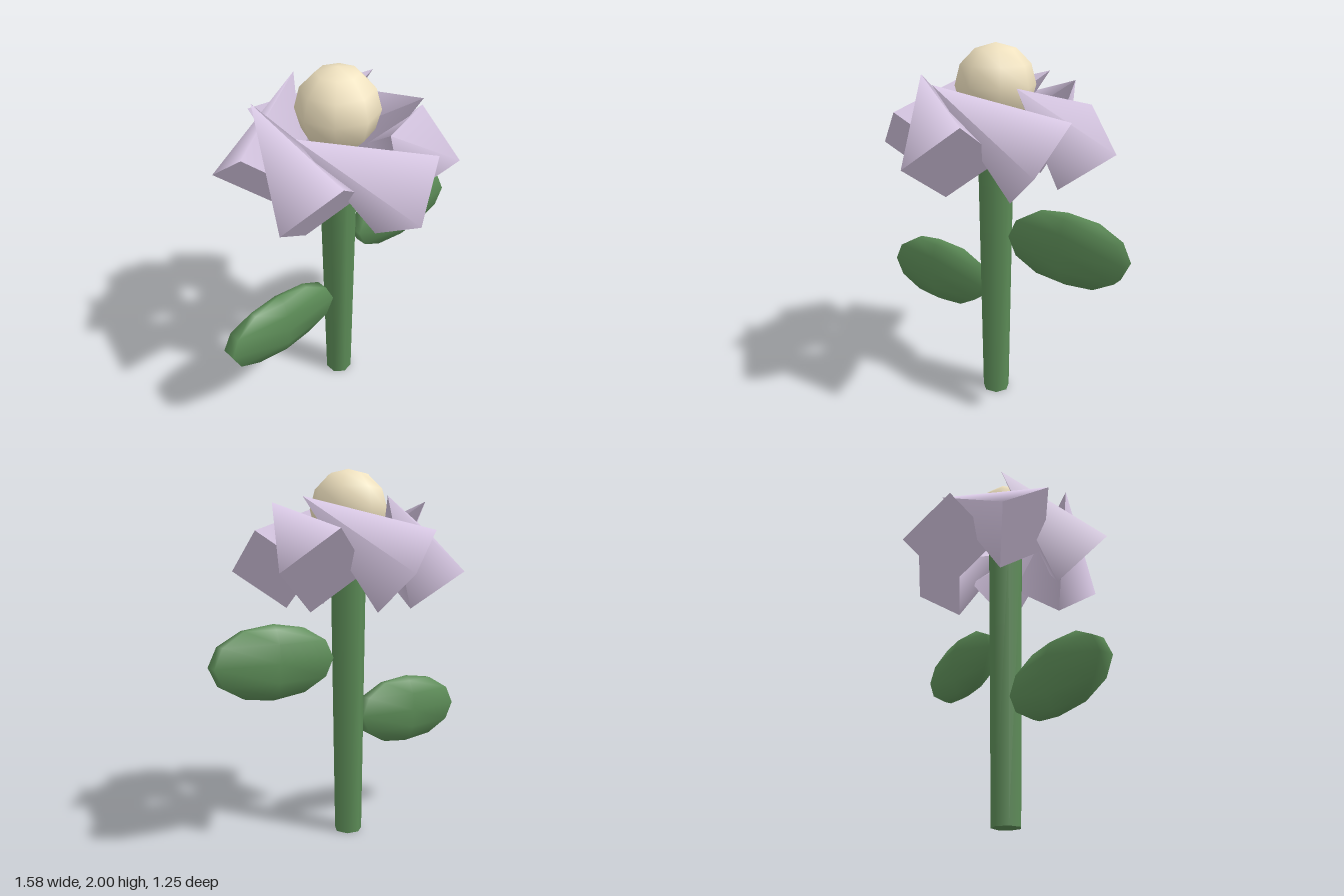
import * as THREE from 'three';

const green = new THREE.MeshStandardMaterial({ color: 0x5c8c57 });
const lilac = new THREE.MeshStandardMaterial({ color: 0xd8c8e4 });
const cream = new THREE.MeshStandardMaterial({ color: 0xf0e2c0 });

function part(name, geometry, material, x = 0, y = 0, z = 0) {
  const mesh = new THREE.Mesh(geometry, material);
  mesh.name = name;
  mesh.position.set(x, y, z);
  return mesh;
}

export function createModel() {
  const model = new THREE.Group();
  model.name = 'flower';

  // Seven-sided stem, slightly wider at the top
  const stem = part('stem', new THREE.CylinderGeometry(0.1, 0.077, 1.6, 7), green, -0.02, 0.8, -0.005);
  stem.rotation.y = Math.PI / 2;
  model.add(stem);

  // Two flat oval leaves at different heights
  const leafGeo = new THREE.SphereGeometry(0.198, 6, 6).rotateY(Math.PI / 2).scale(2.01, 1, 0.4);
  model.add(part('leftLeaf', leafGeo, green, 0.445, 1.003, 0));
  model.add(part('rightLeaf', leafGeo, green, -0.445, 0.647, 0));

  // Flower head
  const head = new THREE.Group();
  head.name = 'flowerHead';
  head.position.set(-0.02, 0, -0.005);
  head.add(part('flowerCentre', new THREE.SphereGeometry(0.21, 8, 6), cream, 0, 1.79, 0));

  // Four-sided cone petal, its tip swept up and sideways past the centre
  const base = new THREE.Vector3(0.065, 1.465, 0.412);
  const tip = new THREE.Vector3(-0.38, 1.828, 0.153);
  const axis = tip.clone().sub(base);
  const length = axis.length();
  axis.normalize();
  const side = new THREE.Vector3().crossVectors(axis, new THREE.Vector3(-0.125, -0.005, 0.21)).normalize();
  const corner = new THREE.Vector3().crossVectors(side, axis);
  const petalGeo = new THREE.ConeGeometry(0.25, length, 4)
    .translate(0, length / 2, 0)
    .applyMatrix4(new THREE.Matrix4().makeBasis(side, axis, corner).setPosition(base));

  // Ring of six petals
  for (let i = 0; i < 6; i++) {
    const petal = part(`petal${i + 1}`, petalGeo, lilac);
    petal.rotation.y = (i * Math.PI) / 3;
    head.add(petal);
  }
  model.add(head);
  return model;
}
